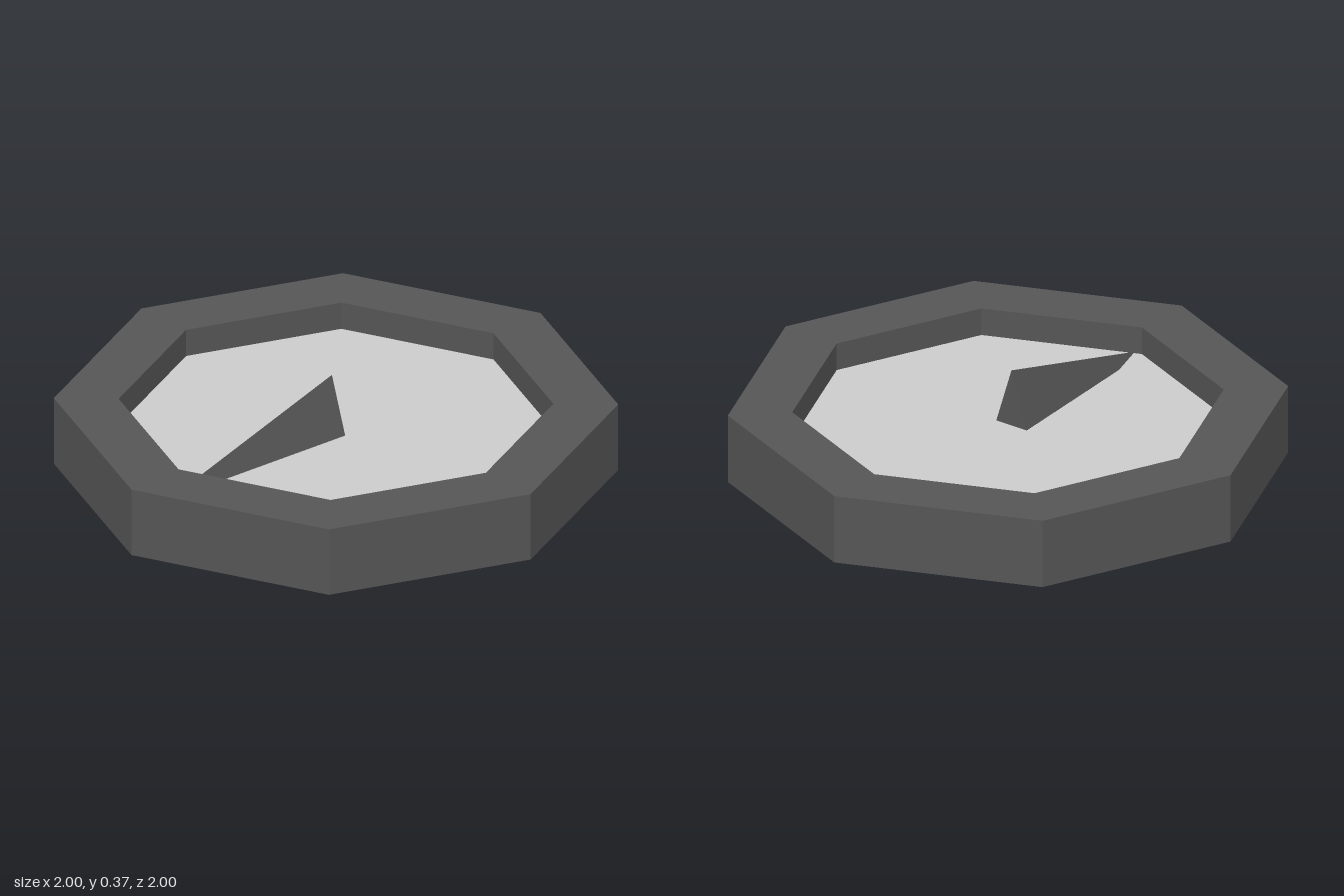
import * as THREE from 'three';

const SIDES = 8;
const TOP = 0.26;     // top of the rim
const FLOOR = 0.156;  // sunken dial face
const INNER = 0.77;   // radius of the recess

export function createModel() {
  const group = new THREE.Group();
  const dark = new THREE.MeshStandardMaterial({ color: 0x555555, flatShading: true });
  const grey = new THREE.MeshStandardMaterial({ color: 0xcccccc, flatShading: true });

  const add = (name, geometry, material) => {
    const mesh = new THREE.Mesh(geometry, material);
    mesh.name = name;
    group.add(mesh);
    return mesh;
  };

  // Octagonal tray: underside, outer wall, rim top and inner wall
  const profile = [[0, 0], [1, 0], [1, TOP], [INNER, TOP], [INNER, FLOOR]]
    .map(([r, y]) => new THREE.Vector2(r, y));
  add('tray', new THREE.LatheGeometry(profile, SIDES), dark);

  // Pale dial face at the bottom of the recess
  const face = new THREE.CircleGeometry(INNER, SIDES).rotateX(-Math.PI / 2);
  add('dialFace', face, grey).position.y = FLOOR;

  // Shadow pointer: a tetrahedron with an upright back, sunk into the face
  const apex = [0, 0.372, 0.02];
  const tip = [0, 0.18, 0.73];
  const left = [0.108, 0.03, 0.02];
  const right = [-0.108, 0.03, 0.02];
  const corners = [
    apex, tip, left,    // left slope
    apex, right, tip,   // right slope
    apex, left, right,  // back
    tip, right, left,   // underside
  ].flat();
  const pointer = new THREE.BufferGeometry();
  pointer.setAttribute('position', new THREE.Float32BufferAttribute(corners, 3));
  pointer.computeVertexNormals();
  add('pointer', pointer, dark);

  return group;
}
